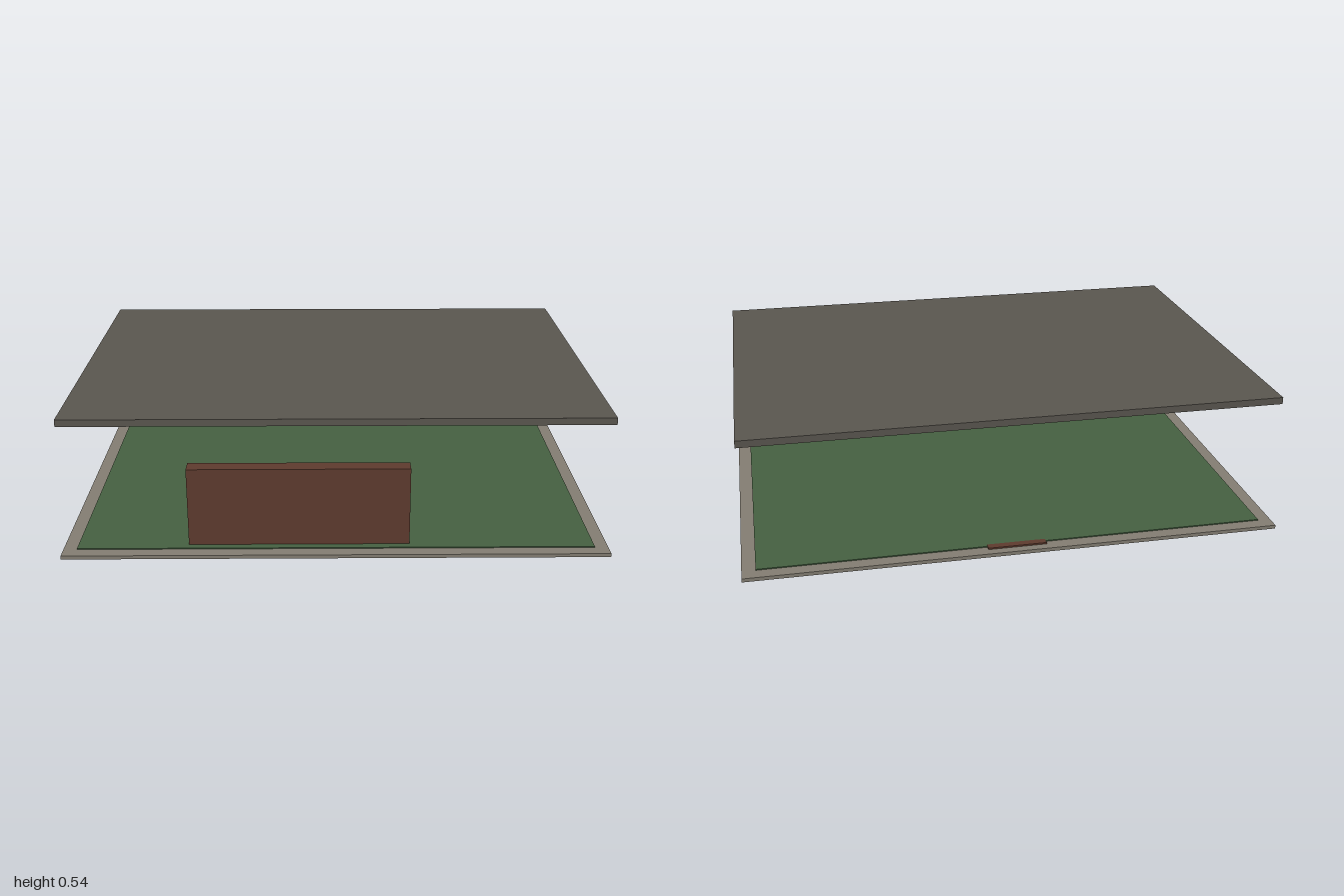
import * as THREE from 'three';

const mat = (name, color) => {
  const m = new THREE.MeshStandardMaterial({ color });
  m.name = name;
  return m;
};

export function createModel() {
  const stone = mat('stone grey', 0x837d72);
  const green = mat('carpet green', 0x456041);
  const slate = mat('roof grey', 0x5a564f);
  const cream = mat('ceiling cream', 0xcac0a4);
  const lampCream = mat('lamp cream', 0xdccb9a);
  const wood = mat('dark wood', 0x5e3b2e);
  const red = mat('book red', 0x6e3a30);
  const dark = mat('book dark', 0x33302e);
  const tan = mat('book tan', 0xa08a6c);

  const room = new THREE.Group();
  room.name = 'room';

  // Box given by its min and max corners
  const box = (parent, name, m, x0, x1, y0, y1, z0, z1) => {
    const mesh = new THREE.Mesh(new THREE.BoxGeometry(x1 - x0, y1 - y0, z1 - z0), m);
    mesh.position.set((x0 + x1) / 2, (y0 + y1) / 2, (z0 + z1) / 2);
    mesh.name = name;
    parent.add(mesh);
  };

  // Floor
  box(room, 'floorSlab', stone, -1, 1, 0, 0.014, -0.73, 0.73);
  box(room, 'carpet', green, -0.95, 0.95, 0.014, 0.018, -0.68, 0.68);
  box(room, 'doorThreshold', wood, -0.11, 0.11, 0.014, 0.02, -0.698, -0.67);

  // Roof with ceiling panel and lamp
  box(room, 'roofSlab', slate, -0.983, 0.983, 0.509, 0.535, -0.713, 0.713);
  box(room, 'ceilingPanel', cream, -0.94, 0.94, 0.498, 0.509, -0.67, 0.67);
  box(room, 'ceilingLamp', lampCream, -0.08, 0.08, 0.488, 0.498, -0.02, 0.02);

  // Bookcase, open towards the back
  const bookcase = new THREE.Group();
  bookcase.name = 'bookcase';
  room.add(bookcase);
  const x0 = -0.543, x1 = 0.27, y0 = 0.018, y1 = 0.318, zOpen = 0.59, zBack = 0.651;
  const t = 0.01, rows = 5, pitch = (y1 - y0 - t) / rows;
  box(bookcase, 'backPanel', wood, x0, x1, y0, y1, zBack - t, zBack);
  for (const x of [x0, x1 - t]) box(bookcase, 'sidePanel', wood, x, x + t, y0, y1, zOpen, zBack - t);
  for (let i = 0; i <= rows; i++) {
    const y = y0 + i * pitch;
    box(bookcase, 'shelf', wood, x0 + t, x1 - t, y, y + t, zOpen, zBack - t);
  }

  // Rows of books, varied by a small seeded generator
  let seed = 7;
  const rand = () => (seed = (seed * 16807) % 2147483647) / 2147483647;
  const covers = [red, dark, tan, cream, wood];
  for (let i = 0; i < rows; i++) {
    const y = y0 + i * pitch + t;
    let x = x0 + t + 0.003;
    while (x < x1 - t - 0.03) {
      const w = 0.013 + rand() * 0.012;
      const h = (pitch - t) * (0.75 + rand() * 0.2);
      const cover = covers[Math.floor(rand() * covers.length)];
      box(bookcase, 'book', cover, x, x + w, y, y + h, zOpen - 0.004 + rand() * 0.004, zBack - t);
      x += w + 0.002;
    }
  }
  return room;
}
